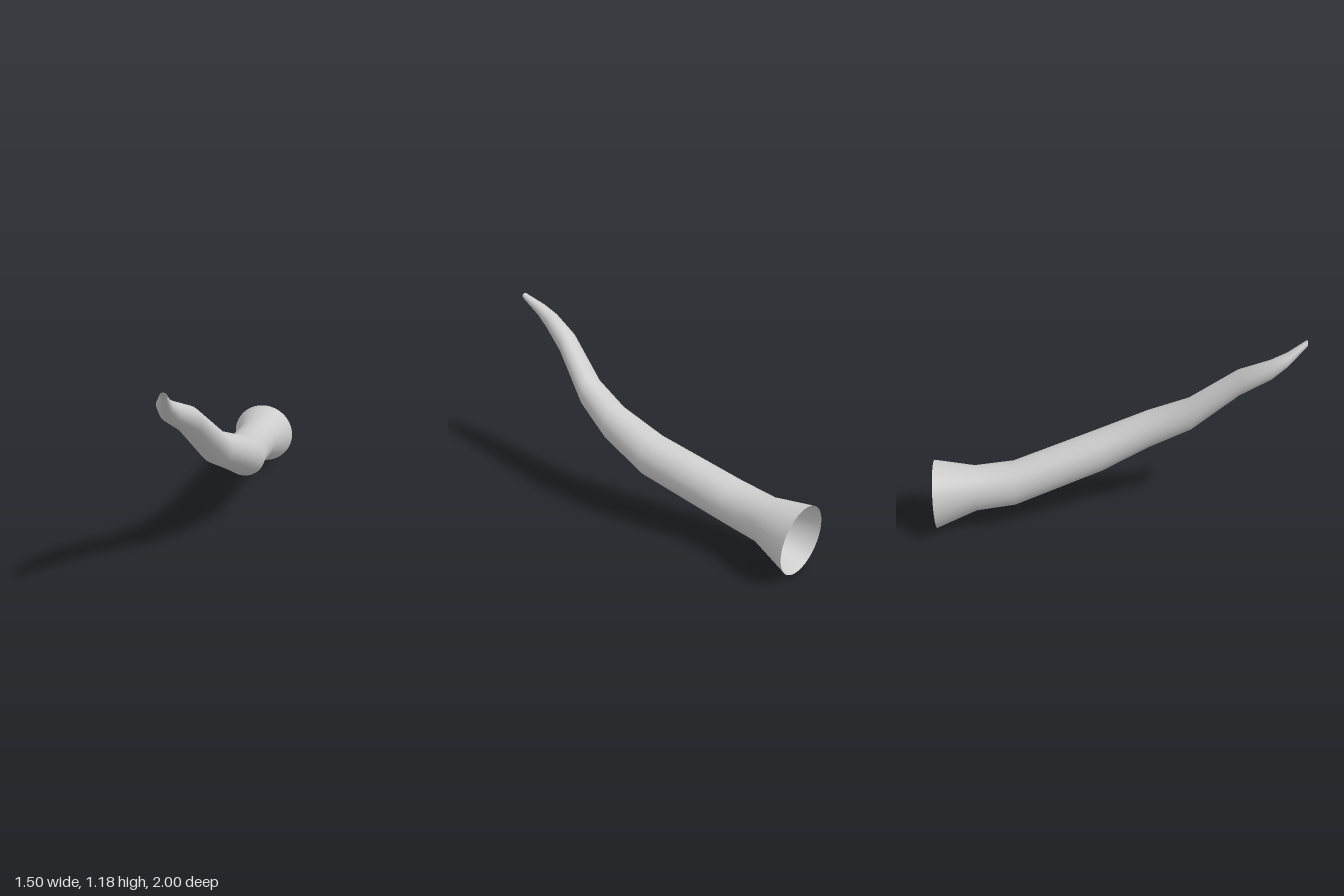
import * as THREE from 'three';
import { mergeVertices } from 'three/addons/utils/BufferGeometryUtils.js';

// Rings from the narrow tip to the flared mouth: [x, y, z, radius]
const RINGS = [
  [-0.735, 1.16, 0.987, 0.02],
  [-0.697, 1.076, 0.868, 0.043],
  [-0.645, 1.015, 0.787, 0.06],
  [-0.512, 0.92, 0.662, 0.079],
  [-0.295, 0.677, 0.48, 0.101],
  [-0.115, 0.557, 0.298, 0.117],
  [0.045, 0.428, 0.04, 0.136],
  [0.285, 0.272, -0.47, 0.14],
  [0.425, 0.247, -0.672, 0.143],
  [0.57, 0.215, -0.876, 0.215],
];
const SIDES = 40;
// All rings stand upright and face the same way; this is their sideways axis
const ACROSS = new THREE.Vector3(0.82, 0, 0.57).normalize();

// Open tube: each row of a unit cylinder is moved onto its ring
function hornGeometry() {
  let geo = new THREE.CylinderGeometry(1, 1, 1, SIDES, RINGS.length - 1, true);
  const pos = geo.attributes.position;
  for (let i = 0; i < pos.count; i++) {
    const row = Math.round((0.5 - pos.getY(i)) * (RINGS.length - 1));
    const [x, y, z, r] = RINGS[row];
    const side = pos.getX(i) * r;
    const up = -pos.getZ(i) * r;
    pos.setXYZ(i, x + ACROSS.x * side, y + up, z + ACROSS.z * side);
  }
  // Weld the seam so the shading runs smoothly all the way round
  geo.deleteAttribute('uv');
  geo.deleteAttribute('normal');
  geo = mergeVertices(geo, 1e-5);
  geo.computeVertexNormals();
  return geo;
}

export function createModel() {
  const group = new THREE.Group();
  group.name = 'curvedHorn';
  const material = new THREE.MeshStandardMaterial({ color: 0xcccccc, side: THREE.DoubleSide });
  const horn = new THREE.Mesh(hornGeometry(), material);
  horn.name = 'hornShell';
  group.add(horn);
  return group;
}
